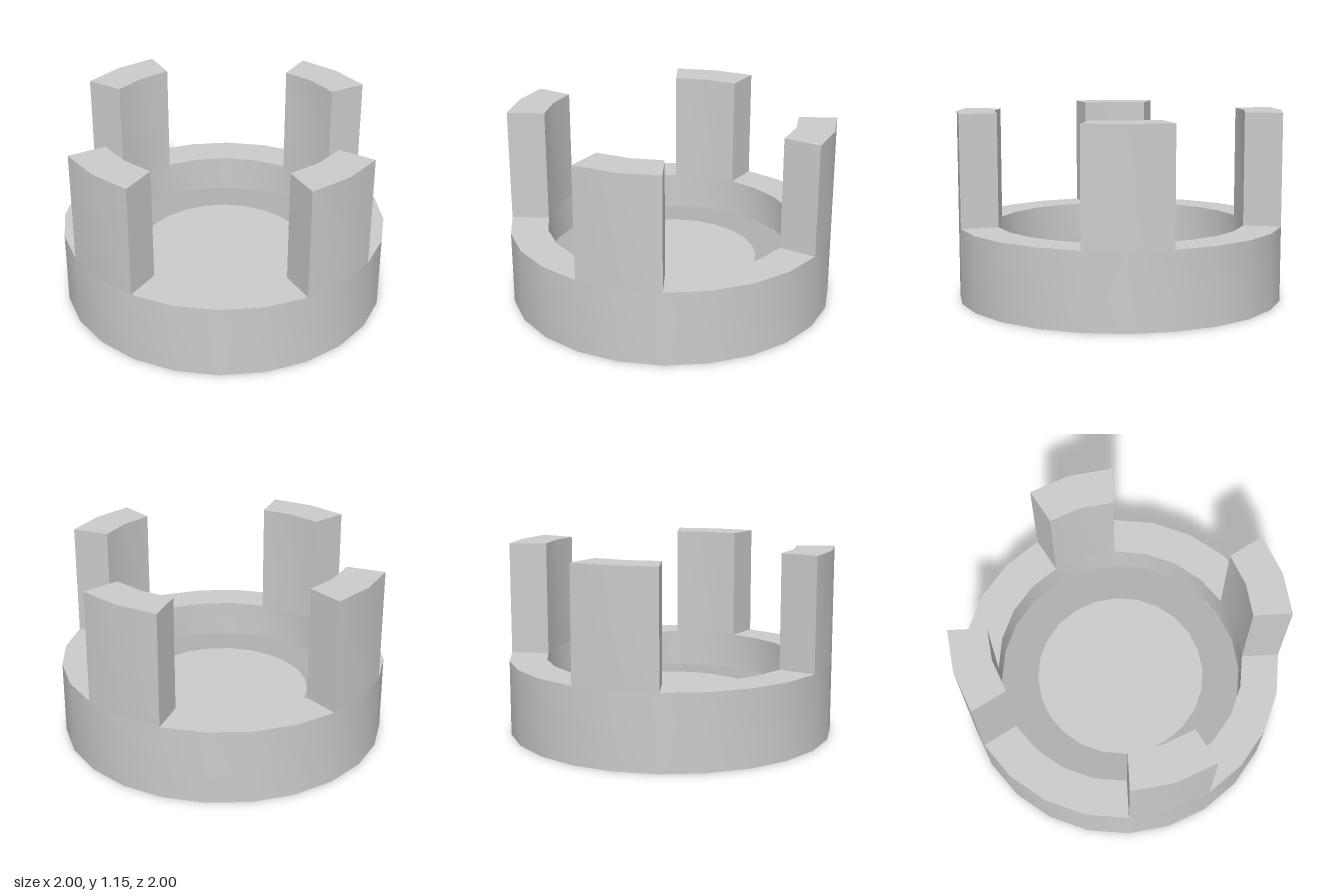
import * as THREE from 'three';
import { toCreasedNormals } from 'three/addons/utils/BufferGeometryUtils.js';

const SIDES = 24, OUTER = 1, INNER = 0.77, DISC = 0.535;
const FLOOR = 0.23, RIM = 0.46, TOP = 1.15;
const STEP = (Math.PI * 2) / SIDES;

const grey = new THREE.MeshStandardMaterial({ color: 0xcccccc });
const darkGrey = new THREE.MeshStandardMaterial({ color: 0xb0b0b0 });

function add(parent, name, geometry, material = grey) {
  const mesh = new THREE.Mesh(geometry, material);
  mesh.name = name;
  parent.add(mesh);
  return mesh;
}

// Upright block two facets wide, following the ring wall
function prongGeometry() {
  const at = (r, i) => new THREE.Vector2(r * Math.cos(i * STEP), r * Math.sin(i * STEP));
  const shape = new THREE.Shape([
    ...[-1, 0, 1].map((i) => at(OUTER, i)),
    ...[1, 0, -1].map((i) => at(INNER, i)),
  ]);
  const g = new THREE.ExtrudeGeometry(shape, { depth: TOP - RIM, bevelEnabled: false });
  g.rotateX(-Math.PI / 2).translate(0, RIM, 0);
  return toCreasedNormals(g, Math.PI / 5);
}

export function createModel() {
  const model = new THREE.Group();
  model.name = 'castleNut';

  // Closed underside, outer wall, rim and inner wall of the cup
  const profile = [[0, 0], [OUTER, 0], [OUTER, RIM], [INNER, RIM], [INNER, FLOOR]]
    .map(([x, y]) => new THREE.Vector2(x, y));
  add(model, 'base', toCreasedNormals(new THREE.LatheGeometry(profile, SIDES), Math.PI / 5));

  // Recessed floor: darker border around a plain disc
  const border = new THREE.RingGeometry(DISC, INNER, SIDES, 1);
  add(model, 'floorBorder', border.rotateX(-Math.PI / 2).translate(0, FLOOR, 0), darkGrey);
  const disc = new THREE.CircleGeometry(DISC, SIDES);
  add(model, 'floorDisc', disc.rotateX(-Math.PI / 2).translate(0, FLOOR, 0));

  // Four prongs on the rim
  const prong = prongGeometry();
  for (let i = 0; i < 4; i++) {
    add(model, `prong${i + 1}`, prong).rotation.y = (i * Math.PI) / 2;
  }
  return model;
}
